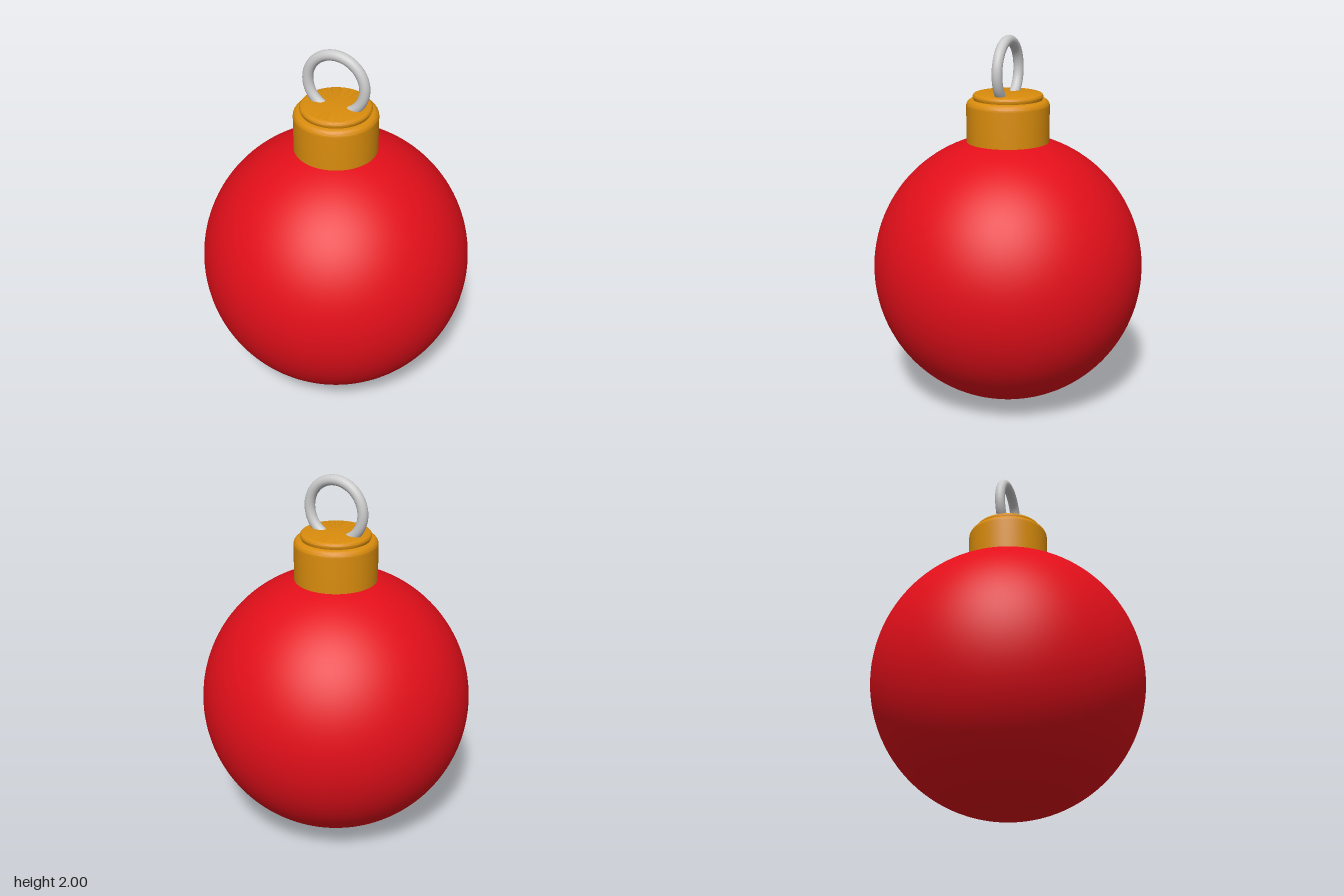
import * as THREE from 'three';
import { toCreasedNormals } from 'three/addons/utils/BufferGeometryUtils.js';

const BALL_RADIUS = 0.735;
const RING_RADIUS = 0.16;
const RING_TUBE = 0.028;

function addPart(group, name, geometry, color, y = 0) {
  const mesh = new THREE.Mesh(geometry, new THREE.MeshStandardMaterial({ color }));
  mesh.name = name;
  mesh.position.y = y;
  group.add(mesh);
  return mesh;
}

// Outline of the cap: straight wall, rounded shoulder, then a raised disc with a rounded rim
function capGeometry() {
  const outline = new THREE.Path();
  outline.moveTo(0, 1.437);
  outline.lineTo(0.222, 1.437);
  outline.lineTo(0.222, 1.63);
  outline.absarc(0.187, 1.63, 0.035, 0, Math.PI / 2, false);
  outline.lineTo(0.18, 1.66);
  outline.absarc(0.17, 1.678, 0.018, 0, Math.PI / 2, false);
  outline.lineTo(0, 1.696);
  return toCreasedNormals(new THREE.LatheGeometry(outline.getPoints(8), 96), 0.6);
}

export function createModel() {
  const model = new THREE.Group();
  model.name = 'bauble';

  // Round glass body
  addPart(model, 'ball', new THREE.SphereGeometry(BALL_RADIUS, 96, 64), 0xe30f1a, BALL_RADIUS);

  // Metal cap on top of the body
  addPart(model, 'cap', capGeometry(), 0xd98c0d);

  // Hanging ring, its lower part sunk into the cap
  const ring = new THREE.TorusGeometry(RING_RADIUS, RING_TUBE, 24, 96);
  addPart(model, 'hangingRing', ring, 0xcccccc, 2 - RING_RADIUS - RING_TUBE);

  return model;
}
